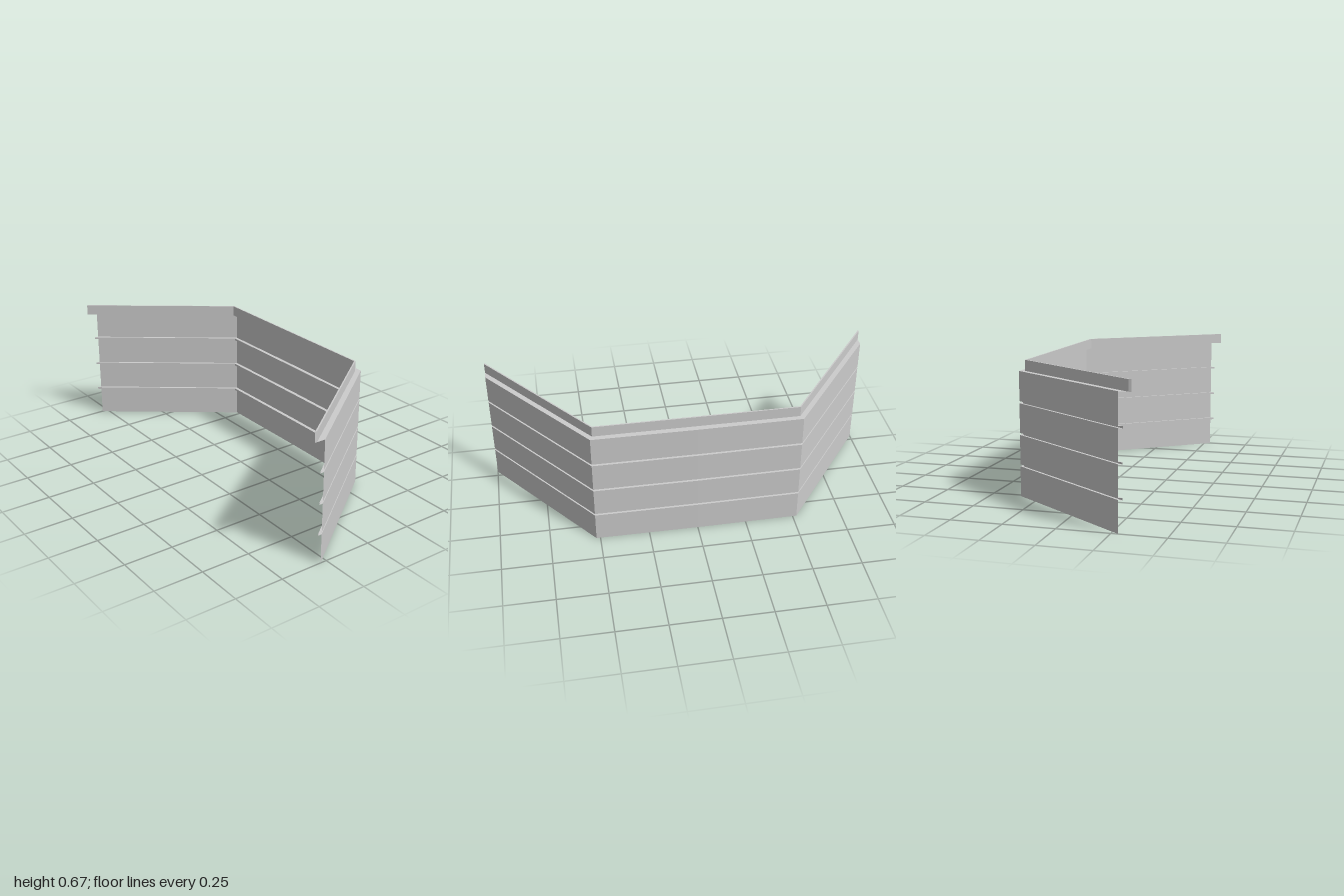
import * as THREE from 'three';

const material = new THREE.MeshStandardMaterial({ color: 0xcccccc, side: THREE.DoubleSide, flatShading: true });

// Plan outline of a three-sided wall: wing end, corner and middle, mirrored in x.
function plan(endZ, cornerX, cornerZ, middleZ) {
  return [[-1, endZ], [-cornerX, cornerZ], [0, middleZ], [cornerX, cornerZ], [1, endZ]];
}

const boardLine = plan(0.283, 0.52, -0.35, -0.353);
const grooveLine = plan(0.303, 0.518, -0.333, -0.334);
const capBack = plan(0.328, 0.508, -0.323, -0.323);
const capFront = plan(0.34, 0.505, -0.316, -0.316);

// Sheet stretched over a stack of [plan, height] rows.
function sheet(name, rows) {
  const pos = [];
  const at = (r, i) => [rows[r][0][i][0], rows[r][1], rows[r][0][i][1]];
  for (let r = 0; r < rows.length - 1; r++) {
    for (let i = 0; i < 4; i++) {
      const a = at(r, i), b = at(r, i + 1), c = at(r + 1, i + 1), d = at(r + 1, i);
      pos.push(...a, ...b, ...c, ...a, ...c, ...d);
    }
  }
  const geometry = new THREE.BufferGeometry();
  geometry.setAttribute('position', new THREE.Float32BufferAttribute(pos, 3));
  geometry.computeVertexNormals();
  const mesh = new THREE.Mesh(geometry, material);
  mesh.name = name;
  return mesh;
}

// Flat piece closing the cap at a wing end.
function capEnd(i, y0, y1) {
  const [x, zb] = capBack[i], zf = capFront[i][1];
  const geometry = new THREE.PlaneGeometry(zf - zb, y1 - y0);
  geometry.rotateY(Math.sign(x) * Math.PI / 2);
  geometry.translate(x, (y0 + y1) / 2, (zf + zb) / 2);
  const mesh = new THREE.Mesh(geometry, material);
  mesh.name = x > 0 ? 'leftCapEnd' : 'rightCapEnd';
  return mesh;
}

export function createModel() {
  const group = new THREE.Group();
  group.name = 'panelWall';
  const pitch = 0.155, boardHeight = 0.149, grooveTop = 0.159;
  const wallTop = 0.615, capTop = 0.668;

  // Four boards with a recessed strip between neighbours
  for (let n = 0; n < 4; n++) {
    const y = n === 0 ? 0 : grooveTop + (n - 1) * pitch;
    const top = n === 3 ? wallTop : boardHeight + n * pitch;
    group.add(sheet('board' + (n + 1), [[boardLine, y], [boardLine, top]]));
    if (n < 3) {
      const next = grooveTop + n * pitch;
      group.add(sheet('groove' + (n + 1), [
        [boardLine, top], [grooveLine, top], [grooveLine, next], [boardLine, next],
      ]));
    }
  }

  // Ledge on the top board and the slim cap rail standing on its front edge
  group.add(sheet('ledge', [[boardLine, wallTop], [capFront, wallTop]]));
  group.add(sheet('capRail', [
    [capFront, wallTop], [capFront, capTop], [capBack, capTop], [capBack, wallTop],
  ]));
  group.add(capEnd(0, wallTop, capTop), capEnd(4, wallTop, capTop));
  return group;
}
